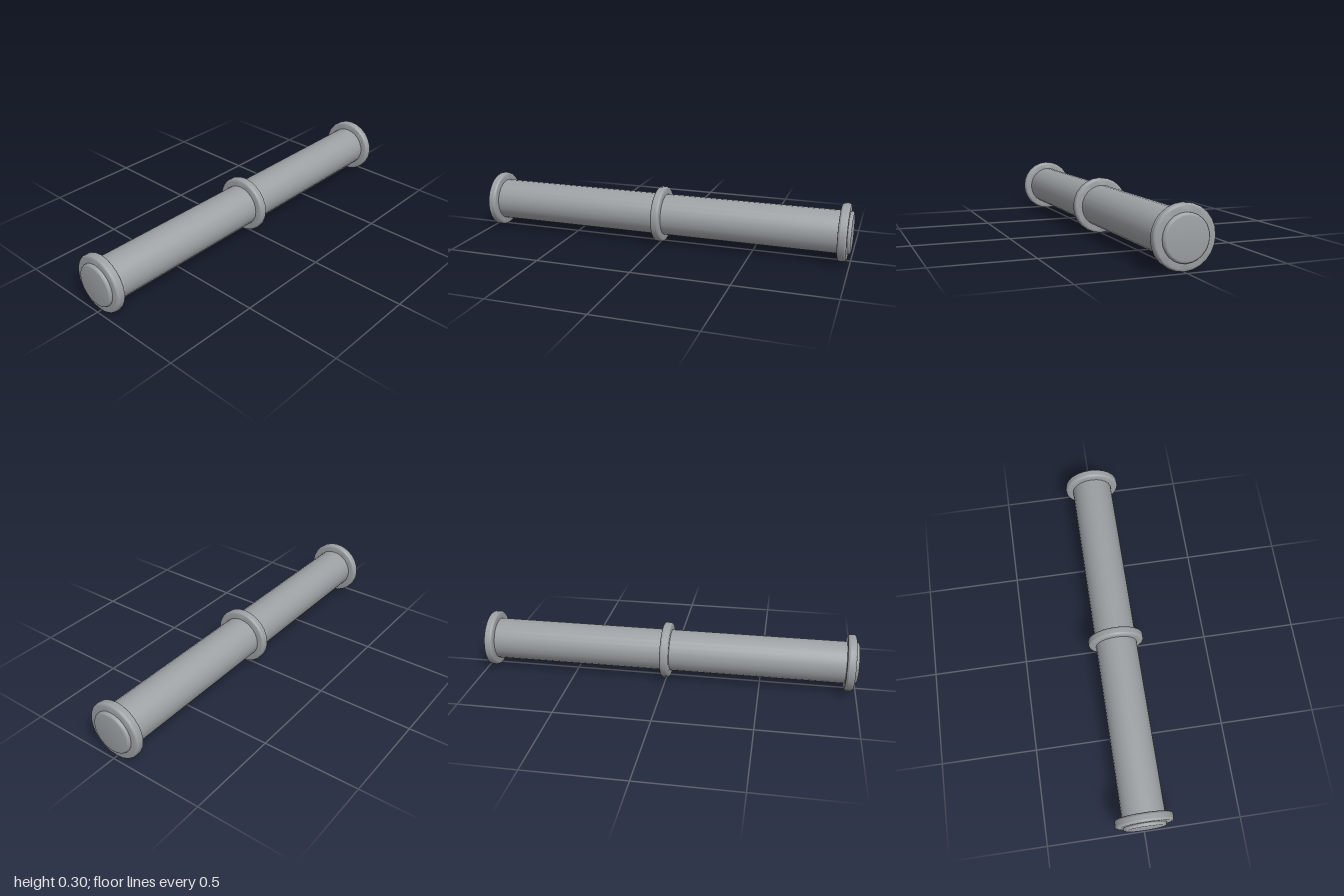
import * as THREE from 'three';
import { toCreasedNormals } from 'three/addons/utils/BufferGeometryUtils.js';

const SIDES = 24;
const AXIS_Y = 0.1485;

// Solid of revolution along x with rounded outer rims
function roundedDisc(name, innerRadius, radius, length, bevel, material) {
  const h = length / 2;
  const points = [new THREE.Vector2(innerRadius, -h)];
  for (const end of [-1, 1]) {
    for (let i = 0; i <= 4; i++) {
      const a = end * (end < 0 ? 1 - i / 4 : i / 4) * Math.PI / 2;
      points.push(new THREE.Vector2(
        radius - bevel + bevel * Math.cos(a),
        end * (h - bevel) + bevel * Math.sin(a)
      ));
    }
  }
  points.push(new THREE.Vector2(innerRadius, h));
  const geometry = toCreasedNormals(new THREE.LatheGeometry(points, SIDES), 0.6);
  geometry.rotateZ(-Math.PI / 2);
  const mesh = new THREE.Mesh(geometry, material);
  mesh.name = name;
  mesh.position.y = AXIS_Y;
  return mesh;
}

export function createModel() {
  const group = new THREE.Group();
  group.name = 'collaredPipe';
  const material = new THREE.MeshStandardMaterial({ color: 0x9da1a4 });

  // Main bar with closed, softened ends
  group.add(roundedDisc('bar', 0, 0.11, 2, 0.013, material));

  // Collars at both ends and the middle
  const collars = { rightCollar: -0.96, middleCollar: 0, leftCollar: 0.96 };
  for (const [name, x] of Object.entries(collars)) {
    const collar = roundedDisc(name, 0.1, 0.1485, 0.046, 0.014, material);
    collar.position.x = x;
    group.add(collar);
  }
  return group;
}
